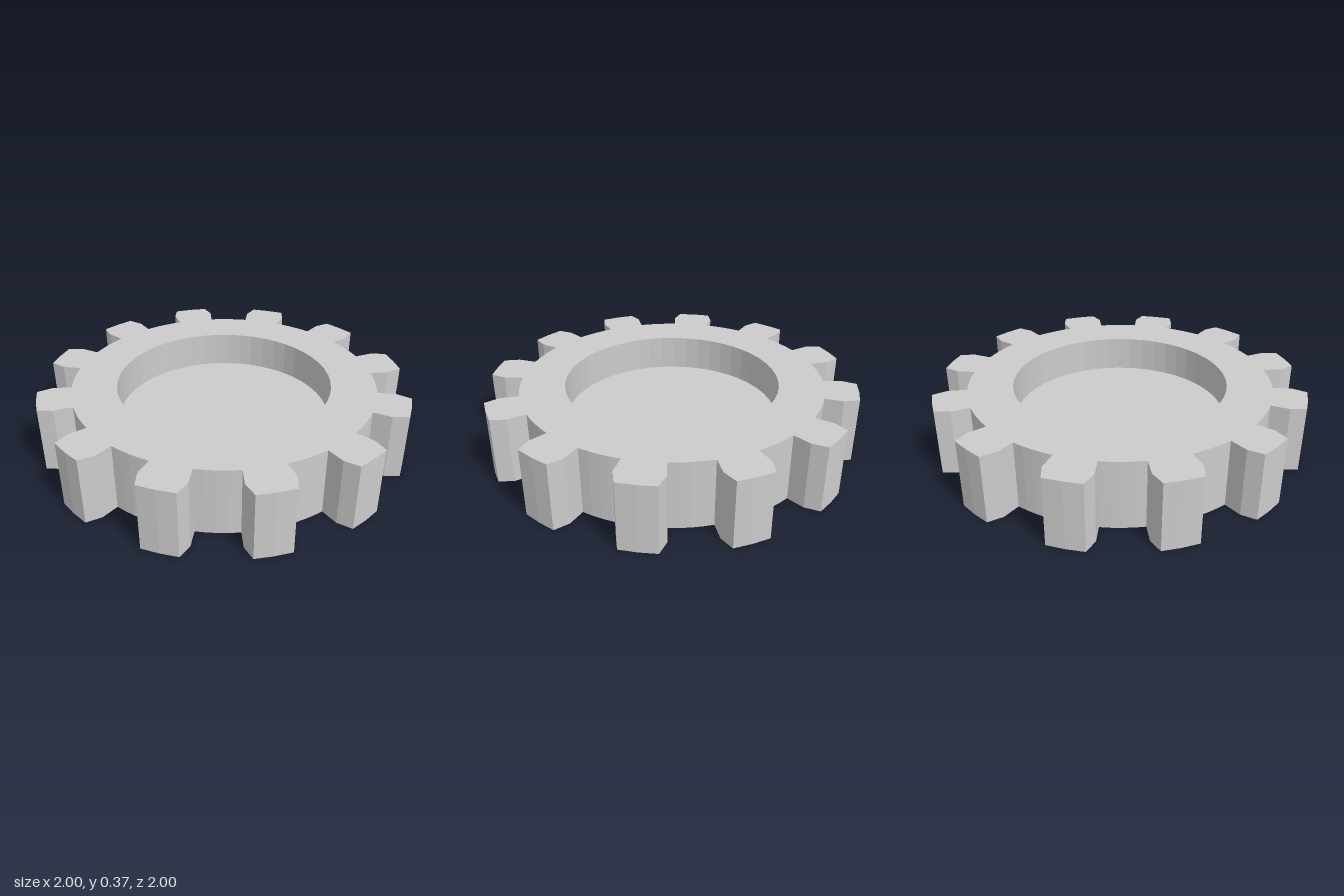
import * as THREE from 'three';

const TEETH = 12, HEIGHT = 0.37, FLOOR = 0.17;
const HOLE_R = 0.588, HOLE_SEGMENTS = 48;
const ROOT_R = 0.833, SHOULDER_R = 0.935, TIP_R = 1.014;

const polar = (r, deg) => {
  const a = THREE.MathUtils.degToRad(deg);
  return new THREE.Vector2(r * Math.cos(a), r * Math.sin(a));
};

// One tooth and the gap after it: [radius, degrees from the tooth's middle]
const TOOTH = [
  [ROOT_R, -7.3], [SHOULDER_R, -7.4], [TIP_R, -5.45], [TIP_R, 0],
  [TIP_R, 5.45], [SHOULDER_R, 7.4], [ROOT_R, 7.3], [ROOT_R, 11.2], [ROOT_R, 15], [ROOT_R, 18.8],
];

function gearOutline() {
  const points = [];
  const step = 360 / TEETH;
  for (let i = 0; i < TEETH; i++) {
    for (const [r, deg] of TOOTH) points.push(polar(r, (i + 0.5) * step + deg));
  }
  return points;
}

export function createModel() {
  const gear = new THREE.Group();
  gear.name = 'gear';
  const material = new THREE.MeshStandardMaterial({ color: 0xcccccc, flatShading: true });
  const add = (name, geometry) => {
    const mesh = new THREE.Mesh(geometry, material);
    mesh.name = name;
    gear.add(mesh);
    return mesh;
  };

  // Toothed ring with a round hole
  const shape = new THREE.Shape(gearOutline());
  const hole = [];
  for (let i = 0; i < HOLE_SEGMENTS; i++) hole.push(polar(HOLE_R, (-360 * i) / HOLE_SEGMENTS));
  shape.holes.push(new THREE.Path(hole));
  const ring = new THREE.ExtrudeGeometry(shape, { depth: HEIGHT, bevelEnabled: false });
  ring.rotateX(-Math.PI / 2);

  // Raise the foot of the hole's wall to the recess floor
  const pos = ring.attributes.position, normal = ring.attributes.normal;
  for (let i = 0; i < pos.count; i++) {
    const isWall = Math.abs(normal.getY(i)) < 0.5;
    const isInner = Math.hypot(pos.getX(i), pos.getZ(i)) < HOLE_R + 0.01;
    if (isWall && isInner && pos.getY(i) < 0.01) pos.setY(i, FLOOR);
  }
  add('toothedRing', ring);

  // Recess floor, and the disc closing the underside
  const disc = new THREE.CircleGeometry(HOLE_R, HOLE_SEGMENTS);
  add('recessFloor', disc.clone().rotateX(-Math.PI / 2).translate(0, FLOOR, 0));
  add('undersideDisc', disc.clone().rotateX(Math.PI / 2));

  return gear;
}
